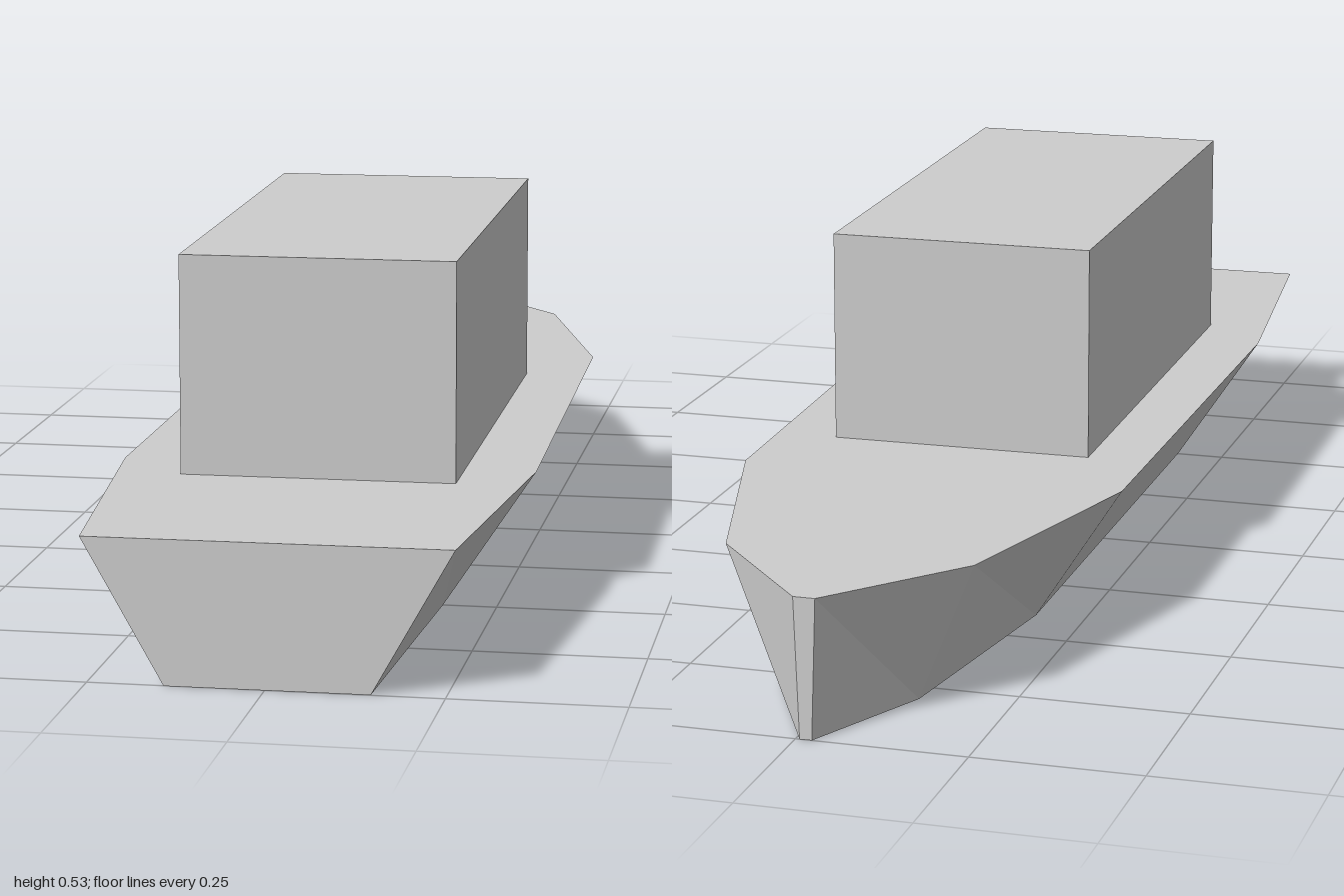
import * as THREE from 'three';

// Hull outline: [z, half width at deck], stern to bow
const STATIONS = [[1, 0.26], [0.5, 0.309], [-0.4, 0.297], [-0.8, 0.185], [-1, 0.016]];
const DECK_Y = 0.207;
const KEEL_SCALE = 0.554;

function hullGeometry() {
  const pos = [];
  const quad = (a, b, c, d) => pos.push(...a, ...b, ...c, ...a, ...c, ...d);
  // Four corners of a cross-section: deck left/right, bottom left/right
  const section = ([z, w]) => ({
    dl: [w, DECK_Y, z], dr: [-w, DECK_Y, z],
    bl: [w * KEEL_SCALE, 0, z], br: [-w * KEEL_SCALE, 0, z],
  });
  const s = STATIONS.map(section);
  for (let i = 0; i < s.length - 1; i++) {
    const a = s[i], b = s[i + 1];
    quad(a.dr, a.dl, b.dl, b.dr); // deck
    quad(a.bl, a.br, b.br, b.bl); // bottom
    quad(a.dl, a.bl, b.bl, b.dl); // left side
    quad(a.br, a.dr, b.dr, b.br); // right side
  }
  const stern = s[0], bow = s[s.length - 1];
  quad(stern.br, stern.bl, stern.dl, stern.dr);
  quad(bow.bl, bow.br, bow.dr, bow.dl);
  const g = new THREE.BufferGeometry();
  g.setAttribute('position', new THREE.Float32BufferAttribute(pos, 3));
  g.computeVertexNormals();
  return g;
}

export function createModel() {
  const model = new THREE.Group();
  model.name = 'boat';
  const grey = new THREE.MeshStandardMaterial({ color: 0xcccccc });
  grey.name = 'light grey';

  const hull = new THREE.Mesh(hullGeometry(), grey);
  hull.name = 'hull';

  // Block cabin sitting on the deck
  const cabin = new THREE.Mesh(new THREE.BoxGeometry(0.407, 0.326, 0.84), grey);
  cabin.name = 'cabin';
  cabin.position.set(0, DECK_Y + 0.163, 0.178);

  // The whole boat is turned very slightly off its axis
  const body = new THREE.Group();
  body.name = 'body';
  body.add(hull, cabin);
  body.rotation.y = 0.009;
  body.position.x = -0.006;
  model.add(body);
  return model;
}
